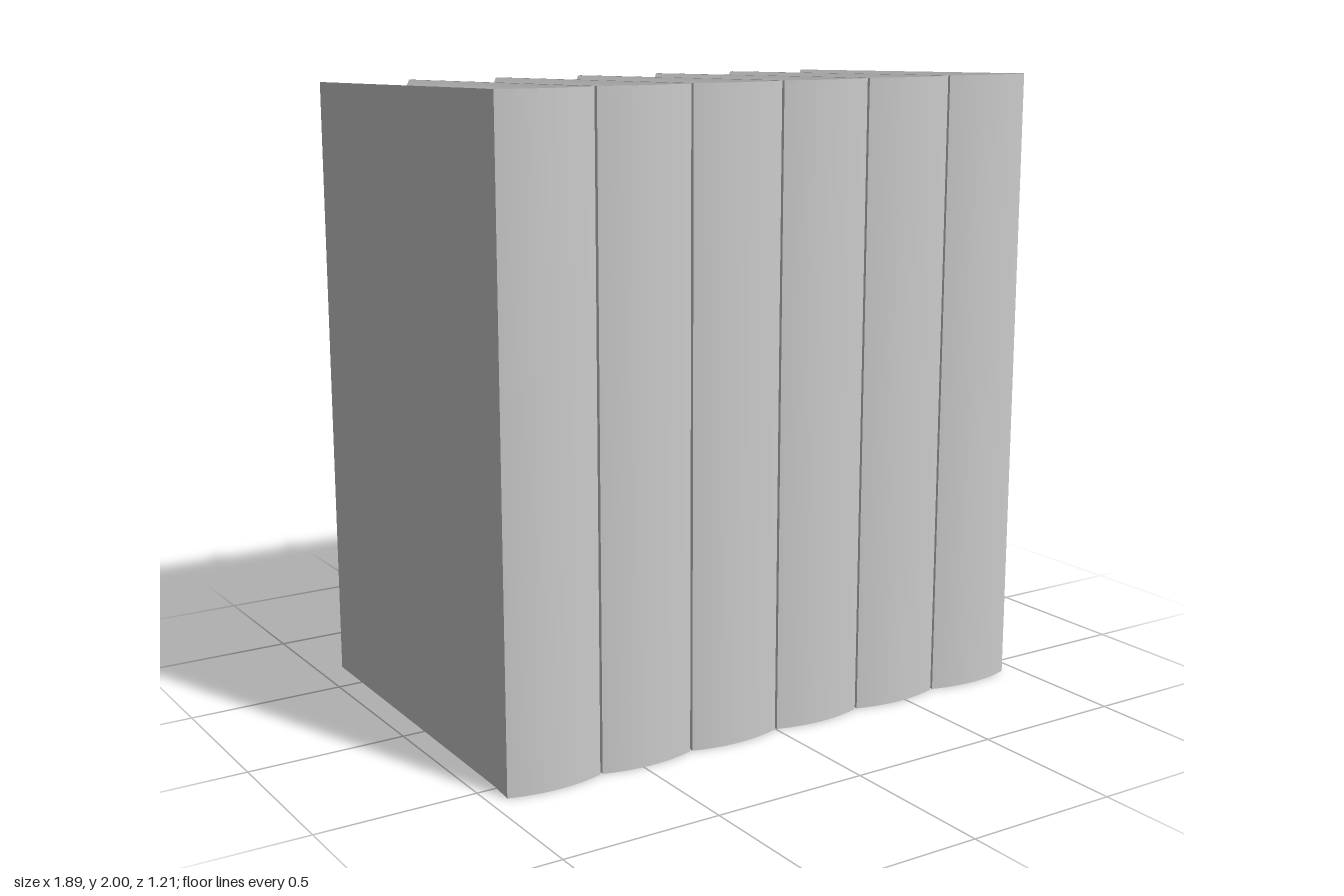
import * as THREE from 'three';
import { toCreasedNormals } from 'three/addons/utils/BufferGeometryUtils.js';

const BOOKS = 6, PITCH = 0.316;
const HALF = 0.154, PAGE_HALF = 0.127;
const BACK = -0.605, PAGE_BACK = -0.575, HINGE = 0.49, PAGE_FRONT = 0.56, SPINE = 0.58;

const material = new THREE.MeshStandardMaterial({ color: 0xcccccc });

// Upper half of the page profile as [z, y]; the lower half mirrors it about y = 1.
const pageTop = [[PAGE_BACK, 1.95], [HINGE, 1.972], [PAGE_FRONT, 1.935]];

// Cover boards and rounded spine: an outer U wall with bevelled rims running in to the pages.
function coverGeometry() {
  const side = [
    { o: [HALF, 1.974, BACK], i: [PAGE_HALF, pageTop[0][1], PAGE_BACK] },
    { o: [0.148, 1.998, HINGE], i: [PAGE_HALF, pageTop[1][1], HINGE] },
  ];
  const spine = [];
  const steps = 12;
  for (let k = 0; k <= steps; k++) {
    const t = 1 - (2 * k) / steps;
    spine.push({
      o: [HALF * t, 2, SPINE + 0.025 * (1 - t * t)],
      i: [PAGE_HALF * t, pageTop[2][1], PAGE_FRONT],
    });
  }
  const flipX = ([x, y, z]) => [-x, y, z];
  const mirrored = side.map(({ o, i }) => ({ o: flipX(o), i: flipX(i) })).reverse();
  const path = [...side, ...spine, ...mirrored];

  const low = ([x, y, z]) => [x, 2 - y, z];
  const pos = [];
  const quad = (a, b, c, d) => pos.push(...a, ...b, ...c, ...a, ...c, ...d);
  for (let k = 0; k < path.length - 1; k++) {
    const p = path[k], q = path[k + 1];
    quad(low(p.o), p.o, q.o, low(q.o)); // outer wall
    quad(p.o, p.i, q.i, q.o); // top rim
    quad(low(p.o), low(q.o), low(q.i), low(p.i)); // bottom rim
  }
  // bevelled fore edges of the two boards
  const s = path[0], e = path[path.length - 1];
  quad(low(s.o), low(s.i), s.i, s.o);
  quad(low(e.i), low(e.o), e.o, e.i);

  const geometry = new THREE.BufferGeometry();
  geometry.setAttribute('position', new THREE.Float32BufferAttribute(pos, 3));
  return toCreasedNormals(geometry, 0.4);
}

// Page block: the side profile extruded across the book's thickness.
function pagesGeometry() {
  const outline = [...pageTop, ...pageTop.map(([z, y]) => [z, 2 - y]).reverse()];
  const shape = new THREE.Shape(outline.map(([z, y]) => new THREE.Vector2(-z, y)));
  const geometry = new THREE.ExtrudeGeometry(shape, { depth: 2 * PAGE_HALF, bevelEnabled: false });
  geometry.translate(0, 0, -PAGE_HALF);
  geometry.rotateY(Math.PI / 2);
  return geometry;
}

export function createModel() {
  const model = new THREE.Group();
  model.name = 'bookRow';
  const cover = coverGeometry();
  const pages = pagesGeometry();
  for (let n = 0; n < BOOKS; n++) {
    const book = new THREE.Group();
    book.name = `book${n + 1}`;
    const coverMesh = new THREE.Mesh(cover, material);
    coverMesh.name = 'cover';
    const pagesMesh = new THREE.Mesh(pages, material);
    pagesMesh.name = 'pages';
    book.add(coverMesh, pagesMesh);
    book.position.x = (n - (BOOKS - 1) / 2) * PITCH;
    model.add(book);
  }
  return model;
}
